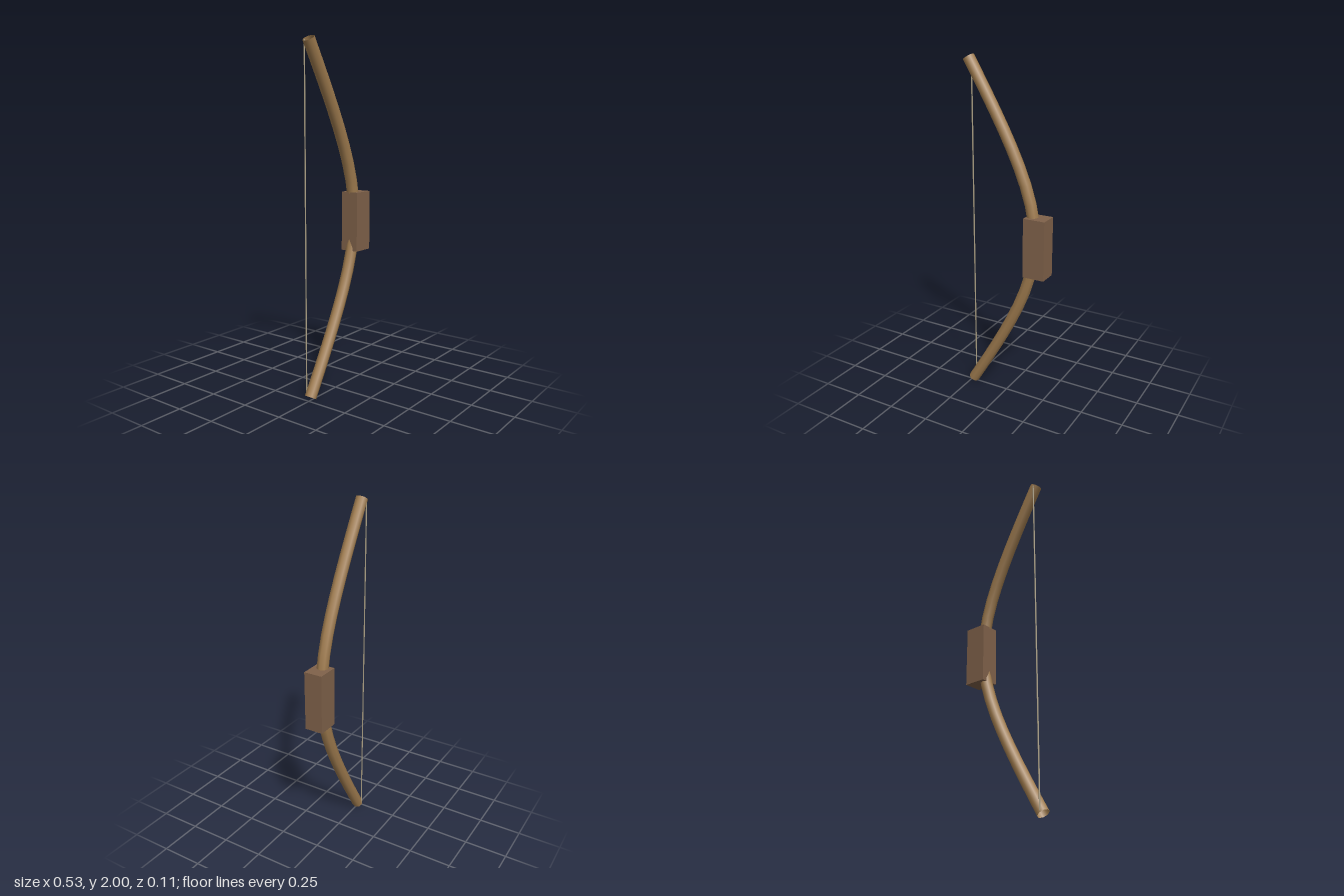
import * as THREE from 'three';

export function createModel() {
  const bow = new THREE.Group();
  bow.name = 'bow';
  const add = (name, geometry, color, x = 0, y = 0, z = 0) => {
    const material = new THREE.MeshStandardMaterial({ color, side: THREE.DoubleSide });
    const mesh = new THREE.Mesh(geometry, material);
    mesh.name = name;
    mesh.position.set(x, y, z);
    bow.add(mesh);
  };

  // Curved stave: open-ended, eight-sided tube bent from tip to tip
  const tipX = -0.233, bendX = 0.318;
  const curve = new THREE.CubicBezierCurve3(
    new THREE.Vector3(tipX, 0.02, 0),
    new THREE.Vector3(bendX, 0.93, 0),
    new THREE.Vector3(bendX, 1.07, 0),
    new THREE.Vector3(tipX, 1.98, 0)
  );
  add('stave', new THREE.TubeGeometry(curve, 20, 0.034, 8, false), 0xa07c4f);

  // Block grip around the middle of the stave
  add('grip', new THREE.BoxGeometry(0.13, 0.345, 0.108), 0x80624a, 0.198, 0.972, 0);

  // Taut string between the tips, set towards the back
  add('string', new THREE.CylinderGeometry(0.004, 0.004, 1.95, 6), 0xb0a488, tipX, 1, -0.028);

  return bow;
}
